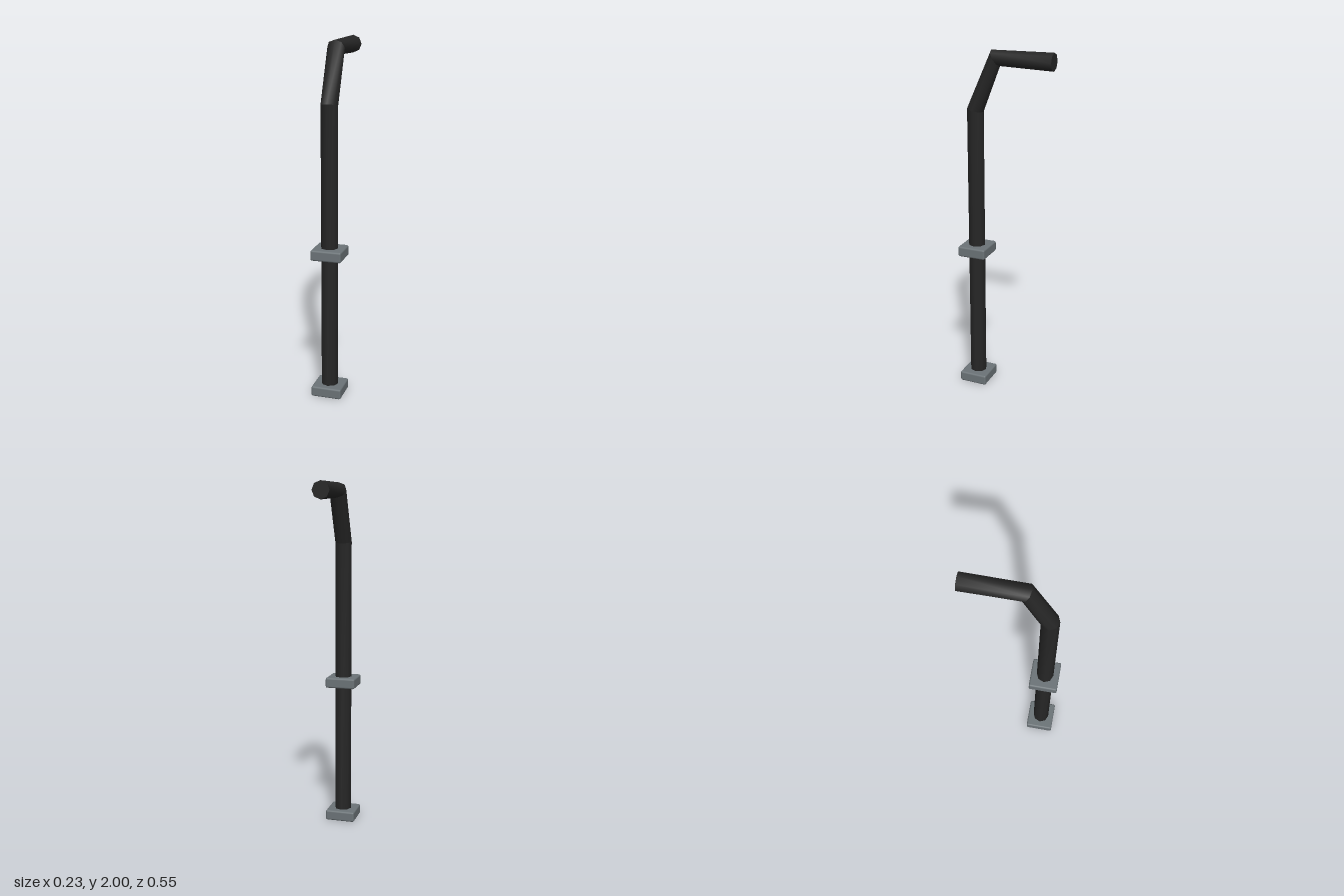
import * as THREE from 'three';
import { RoundedBoxGeometry } from 'three/addons/geometries/RoundedBoxGeometry.js';

const SIDES = 8;
const RADIUS = 0.049;

// Points of one octagonal ring: height, depth, and tilt of the pipe away from vertical
function ring({ y, z, tilt }) {
  const points = [];
  for (let i = 0; i < SIDES; i++) {
    const a = (i / SIDES) * Math.PI * 2;
    const v = Math.sin(a) * RADIUS;
    points.push(Math.cos(a) * RADIUS, y + v * Math.sin(tilt), z + v * Math.cos(tilt));
  }
  return points;
}

function build(positions, index) {
  const geometry = new THREE.BufferGeometry();
  geometry.setAttribute('position', new THREE.Float32BufferAttribute(positions, 3));
  geometry.setIndex(index);
  geometry.computeVertexNormals();
  return geometry;
}

// Open tube between two rings, smooth around and sharp at its ends
function tubeSection(lower, upper) {
  const index = [];
  for (let i = 0; i < SIDES; i++) {
    const j = (i + 1) % SIDES;
    index.push(i, i + SIDES, j, j, i + SIDES, j + SIDES);
  }
  return build([...ring(lower), ...ring(upper)], index);
}

// Flat end disc
function cap(end, top) {
  const index = [];
  for (let i = 1; i < SIDES - 1; i++) index.push(0, ...(top ? [i + 1, i] : [i, i + 1]));
  return build(ring(end), index);
}

export function createModel() {
  const model = new THREE.Group();
  model.name = 'bentPipe';

  const pipeBlack = new THREE.MeshStandardMaterial({ color: 0x262626 });
  pipeBlack.name = 'pipeBlack';
  const bracketGrey = new THREE.MeshStandardMaterial({ color: 0x6b7377 });
  bracketGrey.name = 'bracketGrey';

  const add = (name, geometry, material, y = 0) => {
    const mesh = new THREE.Mesh(geometry, material);
    mesh.name = name;
    mesh.position.y = y;
    model.add(mesh);
  };

  // Pipe: upright post, leaning neck and level outlet
  const path = [
    { y: 0.01, z: 0, tilt: 0 },
    { y: 1.664, z: 0, tilt: 0.19 },
    { y: 1.953, z: -0.122, tilt: 1.03 },
    { y: 1.951, z: -0.453, tilt: Math.PI / 2 },
  ];
  ['post', 'neck', 'outlet'].forEach((name, i) => {
    add(name, tubeSection(path[i], path[i + 1]), pipeBlack);
  });
  add('postEnd', cap(path[0], false), pipeBlack);
  add('outletEnd', cap(path[3], true), pipeBlack);

  // Square brackets with softened edges
  const bracket = new RoundedBoxGeometry(0.174, 0.06, 0.165, 2, 0.01);
  add('baseBracket', bracket, bracketGrey, 0.03);
  add('middleBracket', bracket, bracketGrey, 0.846);

  // Turn the whole pipe and centre its footprint
  model.rotation.y = -0.19;
  model.position.set(-0.019, 0, 0.179);
  const root = new THREE.Group();
  root.name = 'model';
  root.add(model);
  return root;
}
